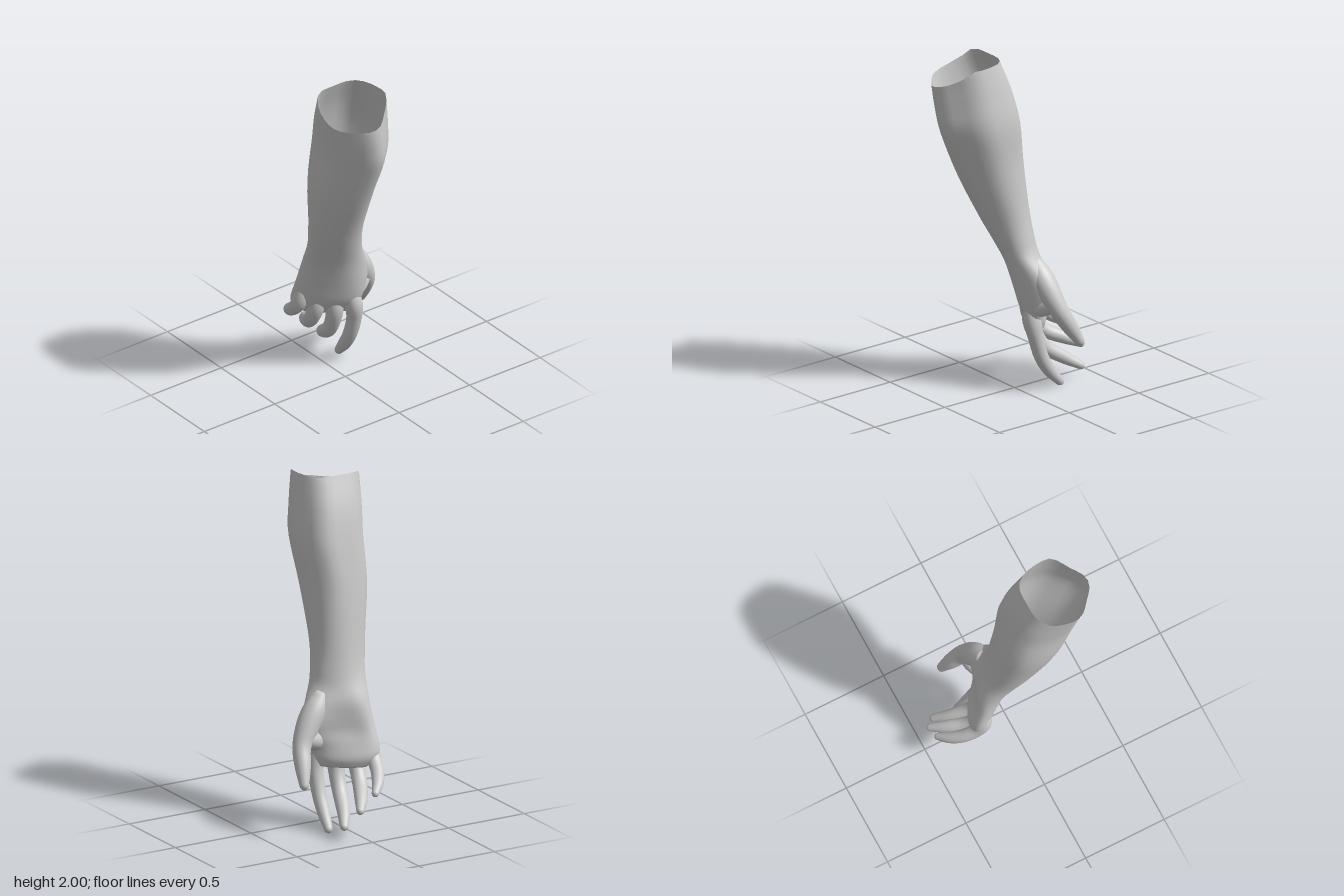
import * as THREE from 'three';

const SIDES = 28;
const V = (x, y, z) => new THREE.Vector3(x, y, z);
const clamp01 = v => THREE.MathUtils.clamp(v, 0, 1);
const material = new THREE.MeshStandardMaterial({ color: 0xcccccc, side: THREE.DoubleSide });

// Skin a list of rings (arrays of Vector3); optional centre points close the ends.
function skin(name, rings, startCap, endCap) {
  const pos = [], index = [];
  rings.forEach(ring => ring.forEach(p => pos.push(p.x, p.y, p.z)));
  for (let i = 0; i < rings.length - 1; i++) {
    for (let j = 0; j < SIDES; j++) {
      const k = (j + 1) % SIDES;
      const a = i * SIDES + j, b = i * SIDES + k, c = a + SIDES, d = b + SIDES;
      index.push(a, b, c, b, d, c);
    }
  }
  const close = (p, base, flip) => {
    const tip = pos.length / 3;
    pos.push(p.x, p.y, p.z);
    for (let j = 0; j < SIDES; j++) {
      const a = base + j, b = base + (j + 1) % SIDES;
      index.push(...(flip ? [b, a, tip] : [a, b, tip]));
    }
  };
  if (startCap) close(startCap, 0, true);
  if (endCap) close(endCap, (rings.length - 1) * SIDES, false);
  const geo = new THREE.BufferGeometry();
  geo.setAttribute('position', new THREE.Float32BufferAttribute(pos, 3));
  geo.setIndex(index);
  geo.computeVertexNormals();
  const mesh = new THREE.Mesh(geo, material);
  mesh.name = name;
  return mesh;
}

// Tapered, round-tipped limb along points [x, y, z, radius].
const ACROSS = V(0.82, 0, 0.57); // direction of the knuckle row
function limb(name, pts) {
  const path = new THREE.CatmullRomCurve3(pts.map(p => V(p[0], p[1], p[2])), false, 'catmullrom');
  const radii = new THREE.CatmullRomCurve3(pts.map(p => V(p[3], 0, 0)), false, 'catmullrom');
  const rings = [];
  const addRing = (c, T, r) => {
    const N = ACROSS.clone().addScaledVector(T, -ACROSS.dot(T)).normalize();
    const B = T.clone().cross(N);
    rings.push(Array.from({ length: SIDES }, (_, j) => {
      const t = j / SIDES * Math.PI * 2;
      return c.clone().addScaledVector(N, r * Math.cos(t)).addScaledVector(B, r * Math.sin(t));
    }));
  };
  const steps = 18;
  for (let i = 0; i <= steps; i++) {
    addRing(path.getPoint(i / steps), path.getTangent(i / steps), radii.getPoint(i / steps).x);
  }
  const end = path.getPoint(1), T = path.getTangent(1), r = radii.getPoint(1).x;
  for (const a of [0.4, 0.8, 1.2]) {
    addRing(end.clone().addScaledVector(T, r * Math.sin(a)), T, r * Math.cos(a));
  }
  return skin(name, rings, path.getPoint(0), end.clone().addScaledVector(T, r));
}

// Forearm, wrist and palm: sections [y, centre x, centre z, half width, half depth, twist].
function forearmAndPalm() {
  const sections = [
    [2.00, -0.138, 0.272, 0.188, 0.195, 0],
    [1.82, -0.115, 0.236, 0.193, 0.226, 0],
    [1.63, -0.097, 0.2, 0.196, 0.235, 0],
    [1.35, -0.105, 0.118, 0.185, 0.202, 0],
    [1.05, -0.08, 0.02, 0.16, 0.147, 0.15],
    [0.88, -0.05, -0.034, 0.157, 0.118, 0.4],
    [0.75, -0.03, -0.077, 0.172, 0.1, 0.6],
    [0.60, -0.022, -0.11, 0.195, 0.085, 0.61],
    [0.48, -0.024, -0.144, 0.203, 0.078, 0.61],
    [0.42, -0.018, -0.163, 0.185, 0.066, 0.61],
    [0.365, -0.005, -0.172, 0.135, 0.04, 0.61],
  ];
  const centre = new THREE.CatmullRomCurve3(sections.map(s => V(s[1], s[0], s[2])), false, 'catmullrom');
  const shape = new THREE.CatmullRomCurve3(sections.map(s => V(s[3], s[4], s[5])), false, 'catmullrom');
  const rings = [], steps = 44;
  for (let i = 0; i <= steps; i++) {
    const c = centre.getPoint(i / steps), s = shape.getPoint(i / steps);
    const rim = clamp01((c.y - 1.3) / 0.7) ** 2;                 // uneven open rim
    const flat = 0.17 * clamp01((c.y - 1) / 0.6);                // full back, narrower front
    const hollow = 0.4 * clamp01(1 - Math.abs(c.y - 0.57) / 0.17);  // cupped palm
    const mound = Math.sin(Math.PI * clamp01((c.y - 0.42) / 0.44)) ** 2; // base of the thumb
    rings.push(Array.from({ length: SIDES }, (_, j) => {
      const t = j / SIDES * Math.PI * 2;
      const dip = 0.12 * Math.pow(Math.max(0, Math.cos((t - 2.2) * 0.85)), 0.6);
      const f = 1 - flat * Math.sin(t) * Math.sin(2 * t) ** 2;
      const a = f * s.x * Math.cos(t);
      let b = f * s.y * Math.sin(t);
      if (b < 0) b *= 1 - hollow * Math.sin(t) ** 2;
      const cos = Math.cos(s.z), sin = Math.sin(s.z);
      const swell = mound * Math.max(0, Math.cos(t + 0.5)) ** 2;
      return V(c.x + a * cos - b * sin + 0.07 * swell, c.y - dip * rim,
        c.z + a * sin + b * cos - 0.055 * swell);
    }));
  }
  return skin('forearmAndPalm', rings, null, centre.getPoint(1));
}

export function createModel() {
  const model = new THREE.Group();
  model.name = 'arm';
  model.add(forearmAndPalm());

  const digits = {
    indexFinger: [[0.075, 0.56, -0.07, 0.03], [0.098, 0.43, -0.053, 0.051], [0.112, 0.32, -0.066, 0.044],
      [0.113, 0.2, -0.103, 0.041], [0.117, 0.105, -0.16, 0.037], [0.126, 0.027, -0.225, 0.025]],
    middleFinger: [[0.0, 0.56, -0.12, 0.03], [0.008, 0.42, -0.11, 0.051], [0.014, 0.31, -0.133, 0.046],
      [0.027, 0.215, -0.19, 0.043], [0.068, 0.14, -0.295, 0.038], [0.117, 0.083, -0.382, 0.024]],
    ringFinger: [[-0.075, 0.57, -0.165, 0.03], [-0.08, 0.44, -0.162, 0.05], [-0.083, 0.345, -0.193, 0.045],
      [-0.06, 0.27, -0.262, 0.042], [-0.008, 0.22, -0.36, 0.037], [0.045, 0.18, -0.44, 0.023]],
    littleFinger: [[-0.14, 0.58, -0.195, 0.03], [-0.16, 0.47, -0.21, 0.047], [-0.16, 0.4, -0.252, 0.041],
      [-0.14, 0.345, -0.322, 0.038], [-0.1, 0.3, -0.39, 0.033], [-0.052, 0.268, -0.443, 0.021]],
    thumb: [[0.07, 0.78, -0.075, 0.045], [0.128, 0.7, -0.085, 0.068], [0.185, 0.615, -0.1, 0.068],
      [0.243, 0.51, -0.13, 0.054], [0.27, 0.41, -0.185, 0.046], [0.292, 0.317, -0.238, 0.028]],
    thumbWeb: [[0.235, 0.56, -0.12, 0.045], [0.18, 0.535, -0.105, 0.06], [0.115, 0.51, -0.075, 0.06],
      [0.07, 0.5, -0.08, 0.045]],
  };
  for (const [name, pts] of Object.entries(digits)) model.add(limb(name, pts));
  return model;
}
